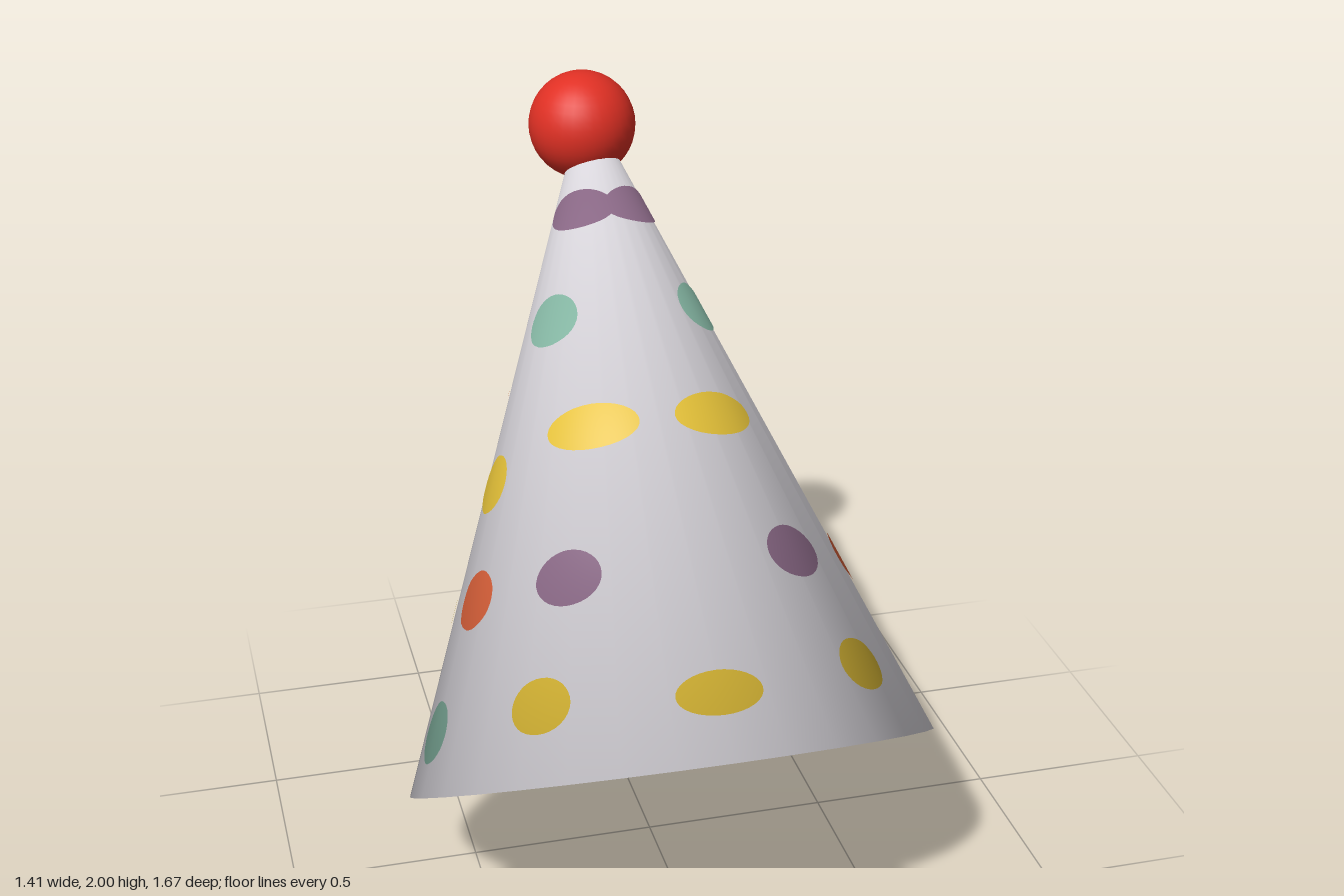
import * as THREE from 'three';
import { mergeGeometries } from 'three/addons/utils/BufferGeometryUtils.js';

const N = 32, STEP = (2 * Math.PI) / N;      // sides of the cone
const R0 = 0.703, R1 = 0.073, H = 1.635;     // base radius, tip radius, height
const TILT = 0.5586;                         // backward lean
const SLOPE = Math.atan((R0 - R1) / H);
const rad = Math.PI / 180;

const mat = (name, color, side = THREE.FrontSide) => {
  const m = new THREE.MeshStandardMaterial({ color, side });
  m.name = name;
  return m;
};

// Grid of points from fn(u index, v index) -> [position, normal]; front is du x dv
function grid(nu, nv, fn) {
  const pos = [], nor = [], idx = [];
  for (let j = 0; j <= nv; j++) {
    for (let i = 0; i <= nu; i++) {
      const [p, n] = fn(i, j);
      pos.push(p.x, p.y, p.z);
      nor.push(n.x, n.y, n.z);
      if (i < nu && j < nv) {
        const a = j * (nu + 1) + i, d = a + nu + 1;
        idx.push(a, a + 1, d + 1, a, d + 1, d);
      }
    }
  }
  const g = new THREE.BufferGeometry();
  g.setAttribute('position', new THREE.Float32BufferAttribute(pos, 3));
  g.setAttribute('normal', new THREE.Float32BufferAttribute(nor, 3));
  g.setIndex(idx);
  return g;
}

const coneNormal = (phi) => new THREE.Vector3(
  Math.sin(phi) * Math.cos(SLOPE), Math.sin(SLOPE), Math.cos(phi) * Math.cos(SLOPE));

// Rim normals are shared between the cone and its end faces, so the edges look soft
const rimNormal = (phi, end) => {
  const n = coneNormal(phi);
  n.y += end;
  return n.normalize();
};

// Point on the faceted cone at angle phi from the front and height s
function onCone(phi, s, lift = 0) {
  const t = s / H;
  const inFacet = (((phi % STEP) + STEP) % STEP) - STEP / 2;
  const r = THREE.MathUtils.lerp(R0, R1, t) * Math.cos(STEP / 2) / Math.cos(inFacet);
  const p = new THREE.Vector3(r * Math.sin(phi), s, r * Math.cos(phi));
  p.addScaledVector(coneNormal(phi), lift);
  return [p, rimNormal(phi, -1).lerp(rimNormal(phi, 1), t).normalize()];
}

// Round spot lying on the cone: arc and rise are half sizes along and up the surface
function spot(deg, s, arc, rise) {
  const spread = arc / THREE.MathUtils.lerp(R0, R1, s / H);
  return grid(32, 6, (i, j) => {
    const a = (i / 32) * 2 * Math.PI, k = 1 - j / 6;
    return onCone(deg * rad + Math.cos(a) * spread * k,
      Math.max(0.002, s + Math.sin(a) * rise * k), 0.004);
  });
}

// Half width of the base polygon at depth z
function halfWidth(z) {
  const k = Math.min(N / 2 - 1, Math.floor(Math.acos(THREE.MathUtils.clamp(z / R0, -1, 1)) / STEP));
  const za = R0 * Math.cos(k * STEP), zb = R0 * Math.cos((k + 1) * STEP);
  const t = THREE.MathUtils.clamp((z - za) / (zb - za), 0, 1);
  return R0 * THREE.MathUtils.lerp(Math.sin(k * STEP), Math.sin((k + 1) * STEP), t);
}

// Band of the base between two depths
function baseBand(z0, z1) {
  const levels = [z0, z1];
  for (let k = 0; k <= N / 2; k++) {
    const z = R0 * Math.cos(k * STEP);
    if (z > z0 + 1e-4 && z < z1 - 1e-4) levels.push(z);
  }
  levels.sort((a, b) => a - b);
  return grid(1, levels.length - 1, (i, j) => {
    const z = levels[j], x = (i ? 1 : -1) * halfWidth(z);
    const phi = Math.atan2(i ? Math.max(x, 1e-6) : Math.min(x, -1e-6), z);
    return [new THREE.Vector3(x, 0, z), rimNormal(phi, -1)];
  });
}

export function createModel() {
  const model = new THREE.Group();
  model.name = 'partyHat';
  const white = mat('paperWhite', 0xe2dfe5);
  const red = mat('pompomRed', 0xe03024);
  const colours = {
    yellow: mat('spotYellow', 0xe3c038),
    orange: mat('spotOrange', 0xe0643c),
    green: mat('spotGreen', 0x84b5a2),
    purple: mat('spotPurple', 0x8c6a88),
  };
  const add = (parent, name, geometry, material) => {
    const m = new THREE.Mesh(geometry, material);
    m.name = name;
    parent.add(m);
    return m;
  };

  // Leaning hat: local y runs along the cone axis
  const hat = new THREE.Group();
  hat.name = 'hat';
  hat.position.set(0, 0.375, 0.24);
  hat.rotation.x = -TILT;
  model.add(hat);
  add(hat, 'cone', grid(N, 1, (i, j) => onCone(i * STEP, j * H)), white);

  // Spots: angle from the front, height, half arc, half rise (mirrored left and right)
  const spots = {
    yellow: [[27, 0.88, 0.125, 0.06], [79, 0.783, 0.08, 0.075], [41, 0.193, 0.085, 0.068],
      [0, 0.17, 0.11, 0.055], [108, 0.474, 0.083, 0.08], [153, 1.345, 0.1, 0.075]],
    orange: [[112, 1.044, 0.078, 0.075], [72, 0.483, 0.082, 0.075],
      [114.5, 0.182, 0.083, 0.08], [148, 0.384, 0.09, 0.073]],
    green: [[54, 1.19, 0.085, 0.07], [80, 0.16, 0.08, 0.078], [142, 0.047, 0.085, 0.07]],
    purple: [[38, 1.489, 0.1, 0.055], [35, 0.499, 0.09, 0.07], [131, 0.758, 0.085, 0.073]],
  };
  for (const [name, list] of Object.entries(spots)) {
    const parts = [];
    for (const [deg, s, arc, rise] of list) {
      parts.push(spot(deg, s, arc, rise));
      if (deg) parts.push(spot(-deg, s, arc, rise));
    }
    add(hat, name + 'Spots', mergeGeometries(parts), colours[name]);
  }

  // Closed base with three coloured bands, back to front
  const stripes = [['green', -0.594, -0.49], ['purple', -0.123, -0.057], ['yellow', 0.34, 0.425]];
  const plain = [];
  let from = -R0;
  for (const [name, z0, z1] of stripes) {
    plain.push(baseBand(from, z0));
    add(hat, name + 'BaseStripe', baseBand(z0, z1), colours[name]);
    from = z1;
  }
  plain.push(baseBand(from, R0));
  add(hat, 'base', mergeGeometries(plain), white);

  // Pompom on the tip
  add(model, 'pompom', new THREE.SphereGeometry(0.146, 32, 20), red).position.set(-0.015, 1.854, -0.69);
  return model;
}
